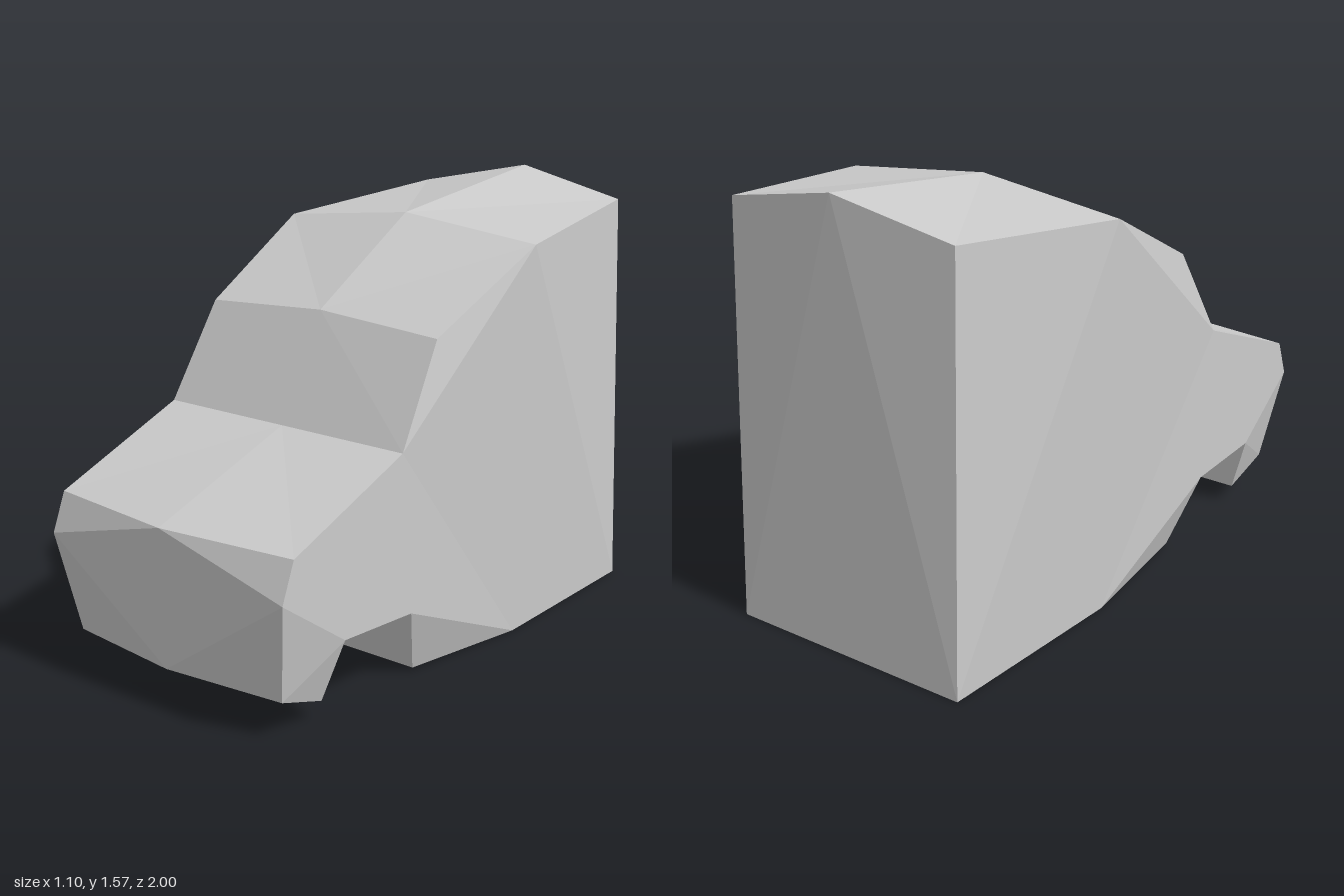
import * as THREE from 'three';

// Stations around the side outline: [half width, edge y, edge z, centre y, centre z]
const stations = [
  [0.52, 0.825, 0.42, 0.825, 0.42],   // 0 windscreen base
  [0.50, 1.16, 0.22, 1.19, 0.22],     // 1 windscreen top
  [0.55, 1.41, -0.26, 1.47, -0.245],  // 2 roof front
  [0.445, 1.48, -0.955, 1.57, -0.99], // 3 roof rear
  [0.46, 0, -1, 0, -1],               // 4 rear bottom
  [0.50, 0, -0.25, 0, -0.25],         // 5 floor middle
  [0.445, 0.015, 0.265, 0.015, 0.265],// 6 floor front
  [0.52, 0.265, 0.37, 0.265, 0.37],   // 7 arch rear
  [0.52, 0.28, 0.705, 0.28, 0.705],   // 8 arch front
  [0.45, 0.065, 0.74, 0.065, 0.74],   // 9 bumper underside
  [0.46, 0.13, 0.935, 0.13, 0.985],   // 10 bumper lip
  [0.52, 0.48, 0.993, 0.48, 0.996],   // 11 nose corner
  [0.52, 0.615, 0.94, 0.615, 1],      // 12 bonnet front
];
// Bands whose fold runs from this edge to the next centre point
const forwardFold = new Set([0, 11, 12]);
// Facets of one flat-shaded flank
const flank = [
  [0, 1, 2], [2, 3, 4], [0, 2, 5], [2, 4, 5], [5, 6, 7], [0, 5, 7],
  [0, 7, 8], [0, 8, 12], [8, 11, 12], [8, 9, 10], [8, 10, 11],
];

function buildBody() {
  const positions = [];
  for (const side of [1, -1]) {
    const edge = i => [side * stations[i][0], stations[i][1], stations[i][2]];
    const centre = i => [0, stations[i][3], stations[i][4]];
    const tri = (a, b, c) => positions.push(...(side > 0 ? [a, b, c] : [a, c, b]).flat());

    // Bands wrapping over the roof, down the back, under the floor and up the nose
    stations.forEach((_, i) => {
      const j = (i + 1) % stations.length;
      if (forwardFold.has(i)) {
        tri(edge(i), edge(j), centre(j));
        tri(edge(i), centre(j), centre(i));
      } else {
        tri(edge(i), edge(j), centre(i));
        tri(edge(j), centre(j), centre(i));
      }
    });
    for (const [a, b, c] of flank) tri(edge(a), edge(c), edge(b));
  }
  const geometry = new THREE.BufferGeometry();
  geometry.setAttribute('position', new THREE.Float32BufferAttribute(positions, 3));
  geometry.computeVertexNormals();
  return geometry;
}

export function createModel() {
  const group = new THREE.Group();
  const body = new THREE.Mesh(
    buildBody(),
    new THREE.MeshStandardMaterial({ color: 0xcccccc, flatShading: true })
  );
  body.name = 'cabBody';
  group.add(body);
  return group;
}
